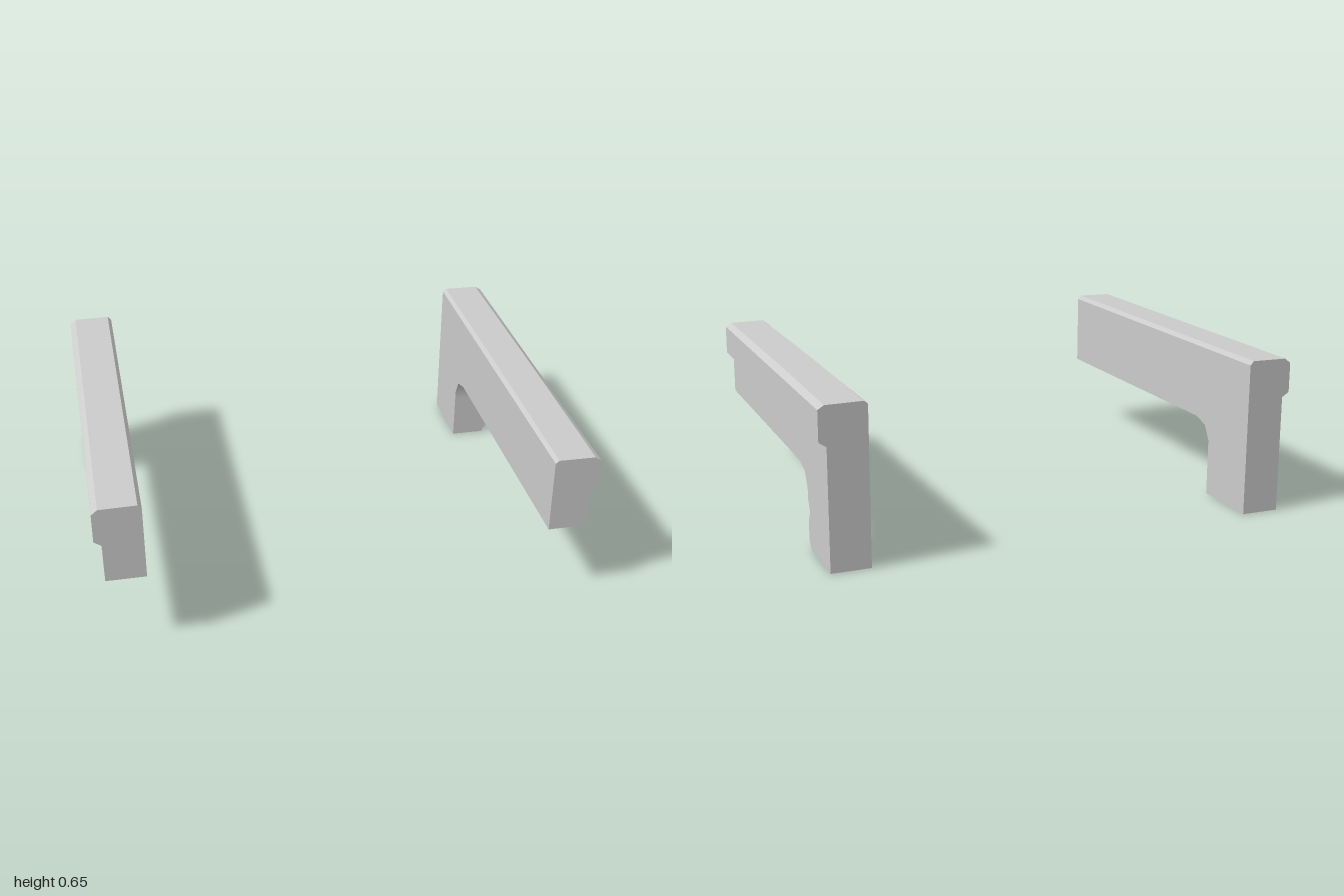
import * as THREE from 'three';
import { toCreasedNormals } from 'three/addons/utils/BufferGeometryUtils.js';

const INNER = 0.81, OUTER = 0.97, END = 0.81, LEDGE = 0.49;
const CHIP_U = 0.015, CHIP_Z = 0.025;

const material = new THREE.MeshStandardMaterial({ color: 0xcccccc, side: THREE.DoubleSide });
const V = (x, y, z) => new THREE.Vector3(x, y, z);

// Collects triangles, turning each one to face the given outward direction
class Surface {
  constructor(side) { this.side = side; this.data = []; }
  tri(a, b, c, out) {
    const n = b.clone().sub(a).cross(c.clone().sub(a));
    const order = (n.dot(out) < 0) === (this.side > 0) ? [a, c, b] : [a, b, c];
    for (const p of order) this.data.push(p.x * this.side, p.y, p.z);
  }
  quad(a, b, c, d, out) { this.tri(a, b, c, out); this.tri(a, c, d, out); }
  polygon(points2d, place, out) {
    const contour = points2d.map(([a, b]) => new THREE.Vector2(a, b));
    for (const f of THREE.ShapeUtils.triangulateShape(contour, []))
      this.tri(...f.map((i) => place(contour[i].x, contour[i].y)), out);
  }
  mesh(name, smooth) {
    let geo = new THREE.BufferGeometry();
    geo.setAttribute('position', new THREE.Float32BufferAttribute(this.data, 3));
    geo.computeVertexNormals();
    if (smooth) geo = toCreasedNormals(geo, 0.8);
    const mesh = new THREE.Mesh(geo, material);
    mesh.name = name;
    return mesh;
  }
}

function createArmrest(name, side, worn) {
  const group = new THREE.Group();
  group.name = name;

  // Underside path from front to back: [z, y, chipped]
  const arch = [[END, 0.325], [-0.4, 0.325], [-0.475, 0.303], [-0.51, 0.24]];
  if (worn) arch.push([-0.51, 0.2], [-0.51, 0.155, true], [-0.51, 0.11], [-0.51, 0.035], [-0.51, 0, true]);
  else arch.push([-0.51, 0]);

  // Overhanging cap rail: section [x, y] swept along z, slightly bowed when worn
  const top = worn ? 0.65 : 0.655;
  const section = [[OUTER, LEDGE], [1, 0.51], [1, 0.632], [0.975, top - 0.002], [0.825, top], [INNER, 0.638]];
  const bow = [[END, 0], [0.4, 0.003], [-0.1, 0.005], [-0.5, 0.003], [-END, 0]];
  const stations = worn ? bow : [bow[0], bow[4]];
  const rail = new Surface(side);
  const at = (i, [z, rise]) => V(section[i][0], section[i][1] + (i === 3 || i === 4 ? rise : 0), z);
  for (let j = 0; j < stations.length - 1; j++) {
    for (let i = 0; i < section.length - 1; i++) {
      const mid = at(i, stations[j]).add(at(i + 1, stations[j]));
      const out = V(mid.x / 2 - 0.9, mid.y / 2 - 0.57, 0);
      rail.quad(at(i, stations[j]), at(i + 1, stations[j]),
        at(i + 1, stations[j + 1]), at(i, stations[j + 1]), out);
    }
  }
  group.add(rail.mesh('capRail'));

  // Flat side walls following the arch
  const walls = new Surface(side);
  const wall = (x, height, notch, dir) => {
    const outline = arch.map(([z, y, chip]) => [chip ? z - notch : z, y]);
    outline.push([-END, 0], [-END, height], [END, height]);
    walls.polygon(outline, (z, y) => V(x, y, z), V(dir, 0, 0));
  };
  wall(INNER, 0.638, 0, -1);
  wall(OUTER, LEDGE, CHIP_Z, 1);
  group.add(walls.mesh('sideWalls'));

  // Front end and back end with the full section
  const ends = new Surface(side);
  for (const [z, base] of [[END, 0.325], [-END, 0]])
    ends.polygon([[INNER, base], [OUTER, base], ...section], (x, y) => V(x, y, z), V(0, 0, z));
  group.add(ends.mesh('endFaces'));

  // Rounded underside and leg front; the foot stays open
  const under = new Surface(side);
  const inner = arch.map(([z, y]) => V(INNER, y, z));
  const outer = arch.map(([z, y, chip]) => V(chip ? OUTER - CHIP_U : OUTER, y, z));
  for (let i = 0; i < arch.length - 1; i++)
    under.quad(inner[i], outer[i], outer[i + 1], inner[i + 1], V(0, -1, 1));
  group.add(under.mesh('archUnderside', true));

  // Small chips along the outer leg edge
  if (worn) {
    const chips = new Surface(side);
    arch.forEach(([z, y, chip], i) => {
      if (!chip) return;
      for (const neighbour of [outer[i - 1], outer[i + 1]])
        if (neighbour) chips.tri(neighbour, outer[i], V(OUTER, y, z - CHIP_Z), V(1, 0, 1));
    });
    group.add(chips.mesh('edgeChips'));
  }
  return group;
}

export function createModel() {
  const model = new THREE.Group();
  model.name = 'armrestPair';
  model.add(createArmrest('leftArmrest', 1, true), createArmrest('rightArmrest', -1, false));
  return model;
}
